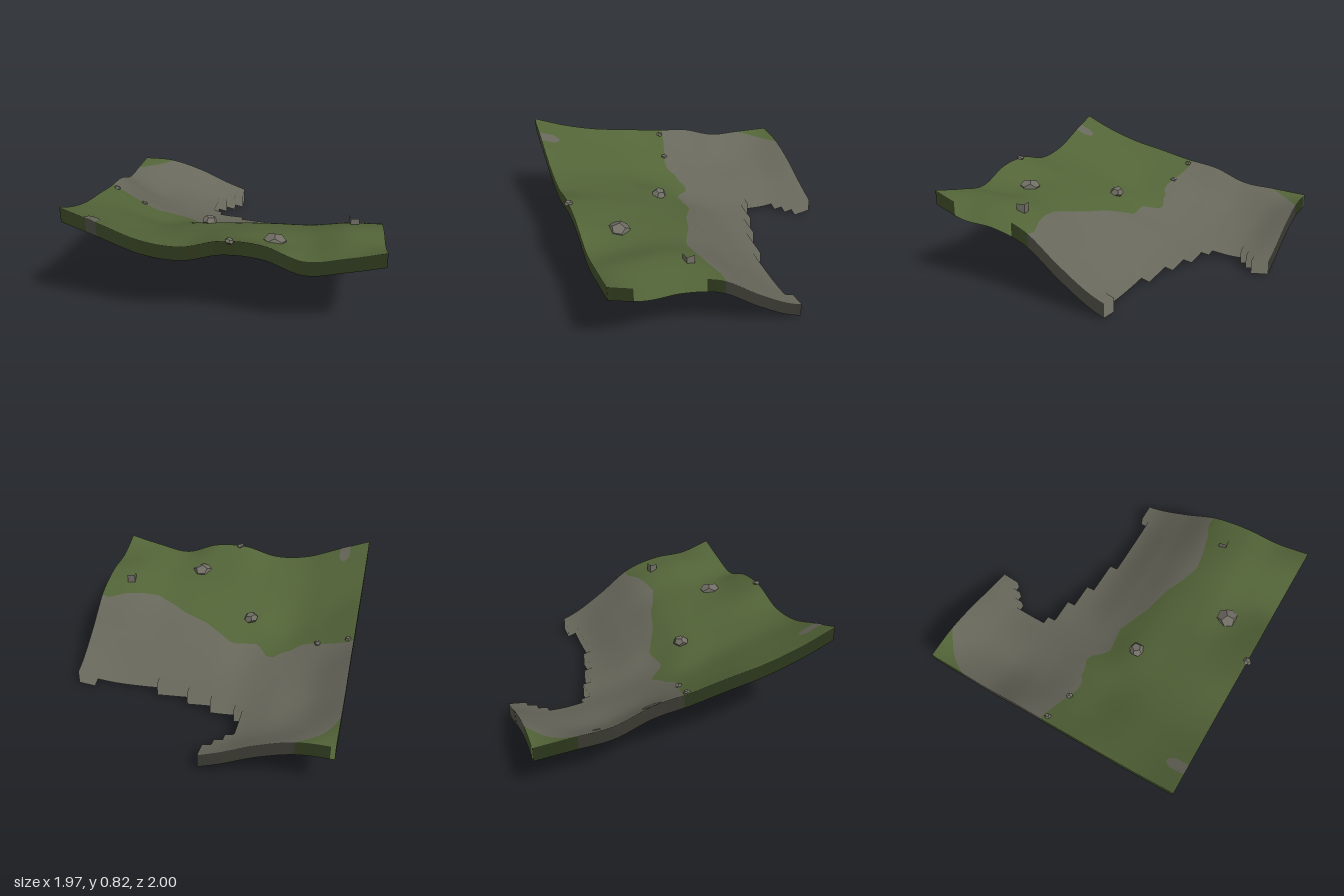
import * as THREE from 'three';

const mat = (name, color, side = THREE.DoubleSide) => {
  const m = new THREE.MeshStandardMaterial({ color, side });
  m.name = name;
  return m;
};

// Terrain extent, resolution and skirt depth
const X0 = -0.985, X1 = 0.985, Z0 = -1, Z1 = 0.97, N = 64, SKIRT = 0.098;
const gx = i => X0 + (X1 - X0) * i / N;
const gz = j => Z0 + (Z1 - Z0) * j / N;

// Coarse heights: rows run z = -1..1, columns x = -1..1, step 0.25
const HEIGHTS = [
  [.372, .36, .283, .168, .085, .06, .06, .06, .06],
  [.395, .278, .195, .115, .08, .07, .06, .06, .06],
  [.415, .266, .2, .13, .11, .09, .08, .07, .07],
  [.507, .34, .25, .185, .165, .145, .125, .12, .145],
  [.545, .425, .33, .275, .29, .29, .285, .29, .30],
  [.60, .475, .39, .408, .425, .438, .443, .475, .485],
  [.65, .56, .485, .485, .505, .515, .525, .573, .56],
  [.73, .64, .565, .555, .58, .56, .54, .592, .578],
  [.84, .74, .64, .612, .675, .662, .563, .60, .668],
];

// Smooth interpolation of evenly spaced values over -1..1
function spline(values, t) {
  const n = values.length - 1, u = (t + 1) / 2 * n;
  const k = Math.min(n - 1, Math.max(0, Math.floor(u))), f = u - k;
  const p = i => i < 0 ? 2 * values[0] - values[1]
    : i > n ? 2 * values[n] - values[n - 1] : values[i];
  const a = p(k - 1), b = p(k), c = p(k + 1), d = p(k + 2);
  return b + 0.5 * f * (c - a + f * (2 * a - 5 * b + 4 * c - d + f * (3 * (b - c) + d - a)));
}
const height = (x, z) => spline(HEIGHTS.map(row => spline(row, x)), z);

// Smooth ground normal
function normalAt(x, z, e = 0.01) {
  return new THREE.Vector3(height(x - e, z) - height(x + e, z), 2 * e,
    height(x, z - e) - height(x, z + e)).normalize().toArray();
}

// Piecewise linear lookup
function lookup(pts, x) {
  for (let i = 1; i < pts.length; i++) {
    const [ax, ay] = pts[i - 1], [bx, by] = pts[i];
    if (x <= bx) return ay + (by - ay) * (x - ax) / (bx - ax);
  }
  return pts[pts.length - 1][1];
}

// Grass borders: main slope and the small back corner
const FRONT = [[-1, -.04], [-.95, -.045], [-.86, -.02], [-.79, 0], [-.73, .02], [-.67, .04],
  [-.6, .04], [-.55, 0], [-.48, -.01], [-.43, -.04], [-.38, -.035], [-.34, .02], [-.29, .075],
  [-.23, .07], [-.1, .05], [0, .1], [.12, .16], [.3, .21], [.42, .27], [.55, .32], [.68, .3],
  [.8, .27], [.92, .22], [1, .23]];
const BACK = [[-1, -.7], [-.95, -.8], [-.9, -.87], [-.83, -.93], [-.74, -1], [1, -1]];
const front = x => lookup(FRONT, x);
const back = x => lookup(BACK, x);
const inBarePatch = (x, z) => z > 0.83 && Math.abs(x + 0.8) < 0.032;
const isGrass = (x, z) => (z > front(x) || z < back(x)) && !inBarePatch(x, z);

// Stepped shoreline: number of kept double cells in each back row
const KEPT = [14, 14, 13, 12, 11, 11, 11, 11, 12, 15, 18, 22];
function kept(i, j) {
  if (i < 0 || j < 0 || i >= N || j >= N) return false;
  const r = j >> 1, c = i >> 1;
  return r >= KEPT.length || c < KEPT[r] || (r === 11 && c >= 30);
}

function makeMesh(name, material, pos, nor, idx) {
  const g = new THREE.BufferGeometry();
  g.setAttribute('position', new THREE.Float32BufferAttribute(pos, 3));
  g.setAttribute('normal', new THREE.Float32BufferAttribute(nor, 3));
  g.setIndex(idx);
  const mesh = new THREE.Mesh(g, material);
  mesh.name = name;
  return mesh;
}

// Terrain strip between two borders z = lo(x) and z = hi(x)
function surface(name, material, lo, hi, xAt = gx, zAt = gz, n = N, keep = kept, lift = 0) {
  const pos = [], nor = [], idx = [];
  for (let i = 0; i <= n; i++) for (let j = 0; j <= n; j++) {
    const x = xAt(i), z = Math.min(hi(x), Math.max(lo(x), zAt(j)));
    pos.push(x, height(x, z) + lift, z);
    nor.push(...normalAt(x, z));
  }
  const zOf = k => pos[k * 3 + 2];
  for (let i = 0; i < n; i++) for (let j = 0; j < n; j++) {
    if (!keep(i, j)) continue;
    const a = i * (n + 1) + j, b = a + 1, d = a + n + 1, c = d + 1;
    if (zOf(b) > zOf(a)) idx.push(a, b, d);
    if (zOf(c) > zOf(d)) idx.push(b, c, d);
  }
  return makeMesh(name, material, pos, nor, idx);
}

// Vertical skirt below every open edge, shaded like the ground above it
function skirt(name, material, grassy) {
  const pos = [], nor = [], idx = [];
  for (let i = 0; i < N; i++) for (let j = 0; j < N; j++) {
    if (!kept(i, j)) continue;
    const corners = [[i, j], [i, j + 1], [i + 1, j + 1], [i + 1, j]];
    [[-1, 0], [0, 1], [1, 0], [0, -1]].forEach(([di, dj], k) => {
      if (kept(i + di, j + dj)) return;
      const ends = [corners[k], corners[(k + 1) % 4]].map(([a, b]) => [gx(a), gz(b)]);
      const [p, q] = ends;
      if (isGrass((p[0] + q[0]) / 2, (p[1] + q[1]) / 2) !== grassy) return;
      const o = pos.length / 3;
      for (const [x, z] of ends) for (const drop of [SKIRT, 0]) {
        pos.push(x, height(x, z) - drop, z);
        nor.push(...normalAt(x, z));
      }
      idx.push(o, o + 2, o + 3, o, o + 3, o + 1);
    });
  }
  return makeMesh(name, material, pos, nor, idx);
}

export function createModel() {
  const root = new THREE.Group();
  root.name = 'hillside';
  const grass = mat('grass green', 0x536438);
  const rock = mat('bare rock grey', 0x68675b);
  const stone = mat('boulder grey', 0x706e64, THREE.FrontSide);
  stone.flatShading = true;

  // Ground
  root.add(
    surface('grassSlope', grass, front, () => Z1),
    surface('rockBasin', rock, back, front),
    surface('grassCorner', grass, () => Z0, back),
    skirt('grassSkirt', grass, true),
    skirt('rockSkirt', rock, false),
  );

  // Bare patch at the front edge, on both faces of the ground
  const patchTop = x => 0.83 + 30 * (x + 0.81) ** 2;
  for (const lift of [0.003, -0.003]) {
    root.add(surface('barePatch', rock, patchTop, () => Z1,
      i => -0.845 + 0.075 * i / 8, j => 0.82 + 0.15 * j / 8, 8, () => true, lift));
  }

  // Boulders half sunk in the ground: x, y, z, radius, flattening, turn
  [
    [-0.2, 0.425, 0.252, 0.054, 0.75, 0.3],
    [0.3, 0.535, 0.7, 0.077, 0.7, 1.1],
    [0.05, 0.665, 0.967, 0.029, 0.65, 0.7],
    [-0.735, 0.424, 0.022, 0.026, 0.65, 2.0],
    [-0.945, 0.515, -0.013, 0.024, 0.85, 0.2],
  ].forEach(([x, y, z, r, flat, turn]) => {
    const m = new THREE.Mesh(new THREE.DodecahedronGeometry(r), stone);
    m.geometry.rotateX(turn).scale(1, flat, 1);
    m.position.set(x, y, z);
    m.rotation.set(0.15, turn, -0.25);
    m.name = 'boulder';
    root.add(m);
  });

  // Small open four-sided stone rim
  const rim = new THREE.Mesh(new THREE.CylinderGeometry(0.04, 0.04, 0.07, 4, 1, true), stone);
  rim.position.set(0.795, 0.562, 0.4);
  rim.rotation.y = Math.PI / 4 + 0.15;
  rim.name = 'stoneRim';
  root.add(rim);

  return root;
}
